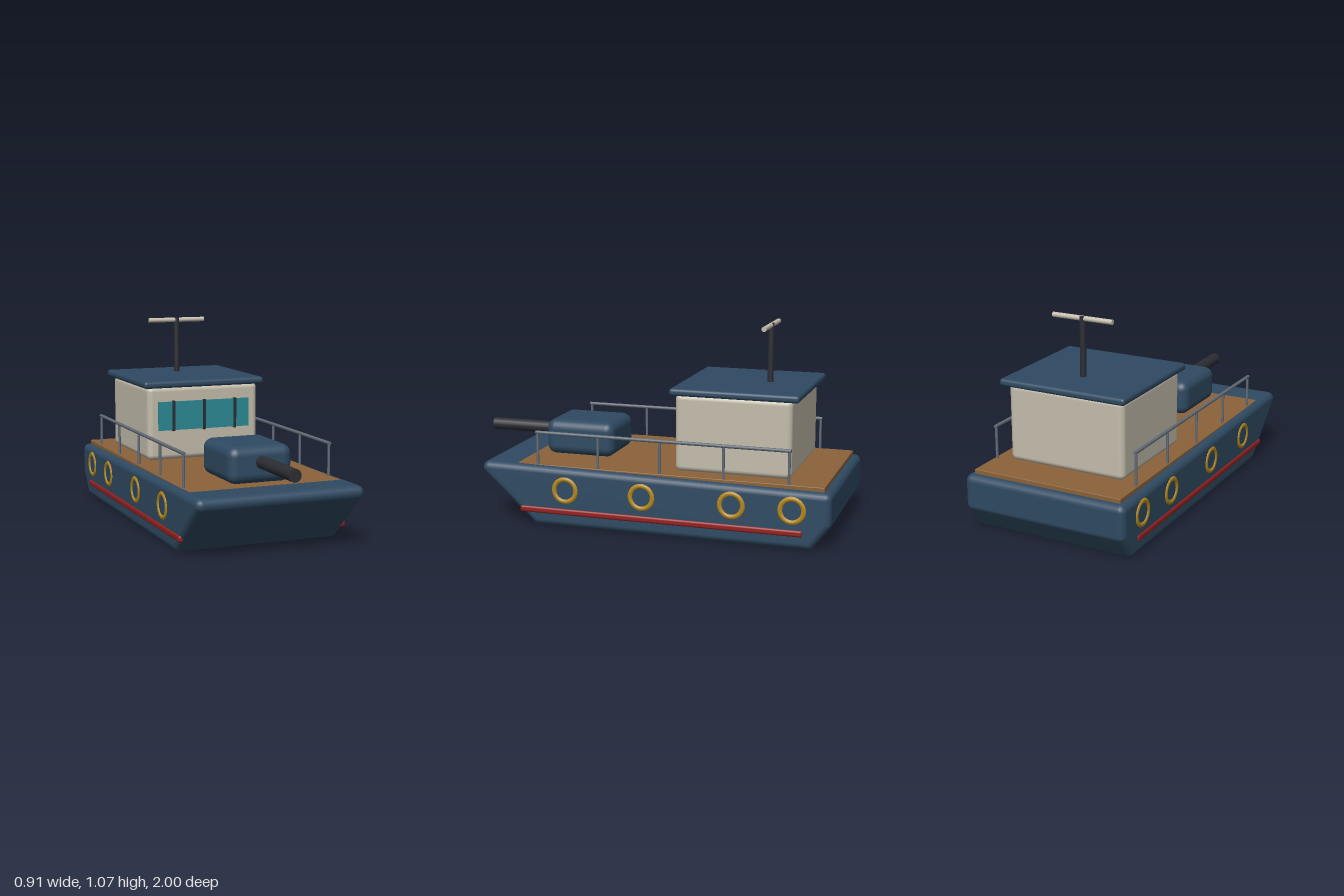
import * as THREE from 'three';
import { RoundedBoxGeometry } from 'three/addons/geometries/RoundedBoxGeometry.js';

const paint = (name, color) => {
  const m = new THREE.MeshStandardMaterial({ color });
  m.name = name;
  return m;
};

// Solid with rounded edges: a convex side profile of [z, y] corners, counter-clockwise,
// swept across x and grown outward by radius r.
function roundedHull(corners, halfWidth, r, steps = 5) {
  const n = corners.length;
  const edgeAngle = (i) => {
    const a = corners[(i + n) % n], b = corners[(i + 1) % n];
    return Math.atan2(-(b[0] - a[0]), b[1] - a[1]);
  };
  const rim = [];
  corners.forEach(([z, y], i) => {
    const start = edgeAngle(i - 1 + n);
    let sweep = edgeAngle(i) - start;
    if (sweep < 0) sweep += Math.PI * 2;
    for (let k = 0; k <= steps; k++) rim.push([z, y, start + (sweep * k) / steps]);
  });

  const pos = [], nor = [], idx = [], m = rim.length, rings = 2 * (steps + 1);
  for (let i = 0; i < rings; i++) {
    const right = i <= steps;
    const phi = ((right ? i : i - 1) / (2 * steps)) * Math.PI;
    const x = (right ? -1 : 1) * (halfWidth - r) - r * Math.cos(phi);
    const s = Math.sin(phi);
    for (const [z, y, a] of rim) {
      pos.push(x, y + r * s * Math.sin(a), z + r * s * Math.cos(a));
      nor.push(-Math.cos(phi), s * Math.sin(a), s * Math.cos(a));
    }
  }
  for (let i = 0; i < rings - 1; i++) {
    for (let j = 0; j < m; j++) {
      const a = i * m + j, c = i * m + ((j + 1) % m);
      idx.push(a, a + m, c, c, a + m, c + m);
    }
  }
  const last = (rings - 1) * m;
  for (let j = 1; j < m - 1; j++) {
    idx.push(0, j, j + 1, last, last + j + 1, last + j);
  }
  const g = new THREE.BufferGeometry();
  g.setAttribute('position', new THREE.Float32BufferAttribute(pos, 3));
  g.setAttribute('normal', new THREE.Float32BufferAttribute(nor, 3));
  g.setIndex(idx);
  return g;
}

export function createModel() {
  const navy = paint('navy', 0x2f4a62);
  const wood = paint('deck brown', 0x8a6239);
  const cream = paint('cream', 0xc4bdac);
  const teal = paint('window teal', 0x2b8994);
  const black = paint('charcoal', 0x2c2d34);
  const steel = paint('steel grey', 0x626b76);
  const gold = paint('ring gold', 0xb3871f);
  const red = paint('stripe red', 0x94211f);

  const boat = new THREE.Group();
  boat.name = 'boat';

  const add = (name, geometry, material, x, y, z, parent = boat) => {
    const mesh = new THREE.Mesh(geometry, material);
    mesh.name = name;
    mesh.position.set(x, y, z);
    parent.add(mesh);
    return mesh;
  };
  // Rounded box given by its limits on each axis
  const box = (name, material, [x0, x1], [y0, y1], [z0, z1], r) =>
    add(name, new RoundedBoxGeometry(x1 - x0, y1 - y0, z1 - z0, 4, r), material,
      (x0 + x1) / 2, (y0 + y1) / 2, (z0 + z1) / 2);
  const rod = (r, length, axis = 'y') => {
    const g = new THREE.CylinderGeometry(r, r, length, 20);
    if (axis === 'x') g.rotateZ(Math.PI / 2);
    if (axis === 'z') g.rotateX(Math.PI / 2);
    return g;
  };

  // Hull with raked bow and cut-up stern
  const profile = [[0.84, 0.287], [-0.965, 0.262], [-0.965, 0.14], [-0.885, 0.035],
    [0.559, 0.035]];
  add('hull', roundedHull(profile, 0.448, 0.035), navy, 0, 0, 0);
  box('deck', wood, [-0.41, 0.41], [0.285, 0.32], [-0.96, 0.685], 0.004);

  // Cabin
  box('cabin', cream, [-0.323, 0.323], [0.32, 0.725], [-0.77, -0.16], 0.03);
  box('roof', navy, [-0.35, 0.35], [0.718, 0.756], [-0.81, -0.135], 0.016);
  add('windscreen', new THREE.BoxGeometry(0.532, 0.157, 0.009), teal, 0, 0.563, -0.1555);
  for (const x of [-0.18, 0, 0.18]) {
    add('windowBar', new THREE.BoxGeometry(0.014, 0.166, 0.018), black, x, 0.563, -0.151);
  }

  // Mast and its crossbar
  add('mast', rod(0.016, 0.32), black, 0, 0.905, -0.583);
  add('crossbar', rod(0.013, 0.334, 'x'), cream, 0, 1.053, -0.583);

  // Deck gun
  box('turret', navy, [-0.173, 0.173], [0.318, 0.507], [0.235, 0.622], 0.05);
  add('barrel', rod(0.033, 0.42, 'z'), black, 0, 0.428, 0.79);

  // Side fittings, the same on both sides
  for (const side of [-1, 1]) {
    const railing = new THREE.Group();
    railing.name = side > 0 ? 'leftRailing' : 'rightRailing';
    boat.add(railing);
    const x = side * 0.397;
    for (let i = 0; i < 5; i++) {
      add('railPost', rod(0.007, 0.18), steel, x, 0.4, 0.57 - i * 0.337, railing);
    }
    add('handRail', rod(0.009, 1.366, 'z'), steel, x, 0.49, -0.104, railing);

    const cx = side * 0.44;
    box('stripe', red, [cx - 0.015, cx + 0.015], [0.067, 0.102], [-0.86, 0.655], 0.012);
    for (const z of [0.4, -0.02, -0.495, -0.805]) {
      const ring = new THREE.TorusGeometry(0.06, 0.015, 12, 32).rotateY(Math.PI / 2);
      add('lifeRing', ring, gold, cx, 0.2, z);
    }
  }
  return boat;
}
